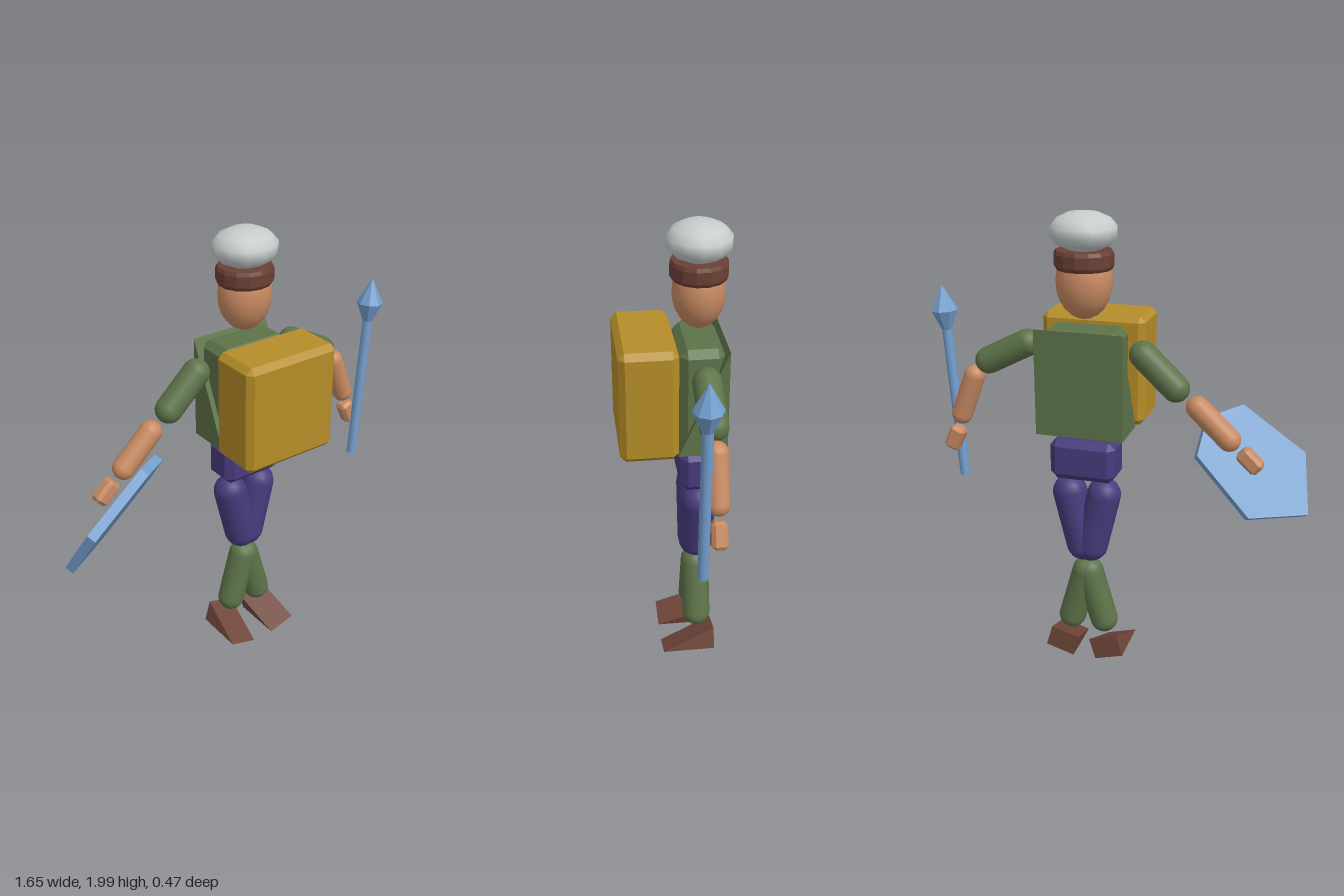
import * as THREE from 'three';
import { ConvexGeometry } from 'three/addons/geometries/ConvexGeometry.js';

const V = (x, y, z) => new THREE.Vector3(x, y, z);
const mat = (color, flat = false) => new THREE.MeshStandardMaterial({ color, flatShading: flat });
const CX = 0.117, CZ = -0.1; // body axis

export function createModel() {
  const model = new THREE.Group();
  const green = mat(0x5d7349), purple = mat(0x483b7c), skin = mat(0xc88a62);
  const yellow = mat(0xb58d28), blue = mat(0x74a0d0), leather = mat(0x70463a), wool = mat(0xc6cccb);

  const add = (name, geometry, material, x = 0, y = 0, z = 0) => {
    const mesh = new THREE.Mesh(geometry, material);
    mesh.name = name;
    mesh.position.set(x, y, z);
    model.add(mesh);
    return mesh;
  };

  // box with flat chamfers: three points around every corner
  const chamferBox = (w, h, d, c) => {
    const points = [];
    for (const sx of [-1, 1]) for (const sy of [-1, 1]) for (const sz of [-1, 1]) {
      for (let axis = 0; axis < 3; axis++) {
        const inset = [0, 1, 2].map((i) => (i === axis ? 0 : c));
        points.push(V(sx * (w / 2 - inset[0]), sy * (h / 2 - inset[1]), sz * (d / 2 - inset[2])));
      }
    }
    return new ConvexGeometry(points);
  };

  // wedge: upright back at z = 0, sloping down to an edge at z = d
  const wedge = (w, h, d) => {
    const side = new THREE.Shape([[0, 0], [d, 0], [0, h]].map(([x, y]) => new THREE.Vector2(x, y)));
    return new THREE.ExtrudeGeometry(side, { depth: w, bevelEnabled: false })
      .rotateY(-Math.PI / 2).translate(w / 2, 0, 0);
  };

  // capsule limb between two joint centres
  const limb = (name, a, b, r, material) => {
    const dir = b.clone().sub(a);
    const mid = a.clone().add(b).multiplyScalar(0.5);
    const mesh = add(name, new THREE.CapsuleGeometry(r, dir.length(), 6, 16), material, mid.x, mid.y, mid.z);
    mesh.quaternion.setFromUnitVectors(V(0, 1, 0), dir.normalize());
  };

  // head and cap
  add('head', new THREE.SphereGeometry(1, 16, 12), skin, CX, 1.72, CZ).scale.set(0.117, 0.152, 0.107);
  const bandProfile = [[0, -0.037], [0.93, -0.037], [1, -0.022], [1, 0.025], [0.94, 0.04], [0, 0.04]];
  const band = new THREE.LatheGeometry(bandProfile.map(([x, y]) => new THREE.Vector2(x, y)), 14);
  add('capBand', band, mat(0x6a4034, true), CX, 1.808, CZ).scale.set(0.122, 1, 0.116);
  add('cap', new THREE.SphereGeometry(1, 12, 7), wool, CX, 1.92, CZ).scale.set(0.143, 0.081, 0.134);

  // torso, back panel, chest pack and hips
  add('torso', chamferBox(0.33, 0.44, 0.18, 0.03), green, CX, 1.31, CZ);
  add('backPanel', wedge(0.376, 0.45, 0.2), green, CX, 1.083, -0.2);
  add('chestPack', chamferBox(0.45, 0.475, 0.235, 0.025), yellow, 0.119, 1.322, 0.118);
  add('hips', chamferBox(0.287, 0.182, 0.165, 0.03), purple, CX, 0.965, CZ);

  // legs, mirrored about the body axis
  for (const [side, s] of [['left', 1], ['right', -1]]) {
    limb(side + 'Thigh', V(CX + s * 0.077, 0.795, CZ), V(CX + s * 0.018, 0.55, CZ), 0.075, purple);
    limb(side + 'Shin', V(CX + s * 0.008, 0.417, CZ), V(CX + s * 0.074, 0.183, CZ), 0.062, green);
    const shoe = wedge(0.132, 0.1, 0.23).translate(0, -0.05, 0);
    add(side + 'Shoe', shoe, leather, CX + s * 0.102, 0.073, -0.17).rotation.z = s * 0.28;
  }

  // arms
  limb('leftUpperArm', V(0.37, 1.448, CZ), V(0.547, 1.357, CZ), 0.058, green);
  limb('leftForearm', V(0.617, 1.283, CZ), V(0.685, 1.103, CZ), 0.046, skin);
  limb('rightUpperArm', V(-0.13, 1.435, CZ), V(-0.268, 1.305, CZ), 0.058, green);
  limb('rightForearm', V(-0.36, 1.232, CZ), V(-0.495, 1.105, CZ), 0.048, skin);
  const hand = chamferBox(0.068, 0.11, 0.062, 0.014);
  add('leftHand', hand, skin, 0.722, 0.99, CZ).rotation.z = 0.42;
  add('rightHand', hand, skin, -0.585, 1.025, CZ).rotation.z = -0.82;

  // spear: shaft and double-cone head on one tilted axis
  const spear = new THREE.Group();
  spear.name = 'spear';
  const shaft = new THREE.Mesh(new THREE.CylinderGeometry(0.022, 0.022, 0.69, 10), blue);
  shaft.name = 'spearShaft';
  shaft.position.y = 0.345;
  const headProfile = [[0, 0], [0.022, 0], [0.058, 0.085], [0, 0.195]];
  const spearHead = new THREE.Mesh(
    new THREE.LatheGeometry(headProfile.map(([x, y]) => new THREE.Vector2(x, y)), 8), mat(0x74a0d0, true));
  spearHead.name = 'spearHead';
  spearHead.position.y = 0.672;
  spear.add(shaft, spearHead);
  spear.position.set(0.717, 0.79, -0.042);
  spear.rotation.z = -0.067;
  model.add(spear);

  // shield: six-sided plate, leaning forward and pointing down and outward
  const outline = [[-0.29, 0], [-0.112, -0.196], [0.217, -0.156], [0.295, 0], [0.217, 0.156], [-0.112, 0.196]];
  const plate = new THREE.ExtrudeGeometry(
    new THREE.Shape(outline.map(([x, y]) => new THREE.Vector2(x, y))), { depth: 0.04, bevelEnabled: false });
  plate.translate(0, 0, -0.02);
  const along = V(0.752, 0.658, 0.017).normalize();
  const normal = along.clone().cross(V(-0.48, 0.52, 0.71)).normalize();
  const across = normal.clone().cross(along);
  const shield = add('shield', plate, blue, -0.6, 0.965, -0.018);
  shield.quaternion.setFromRotationMatrix(new THREE.Matrix4().makeBasis(along, across, normal));

  return model;
}
